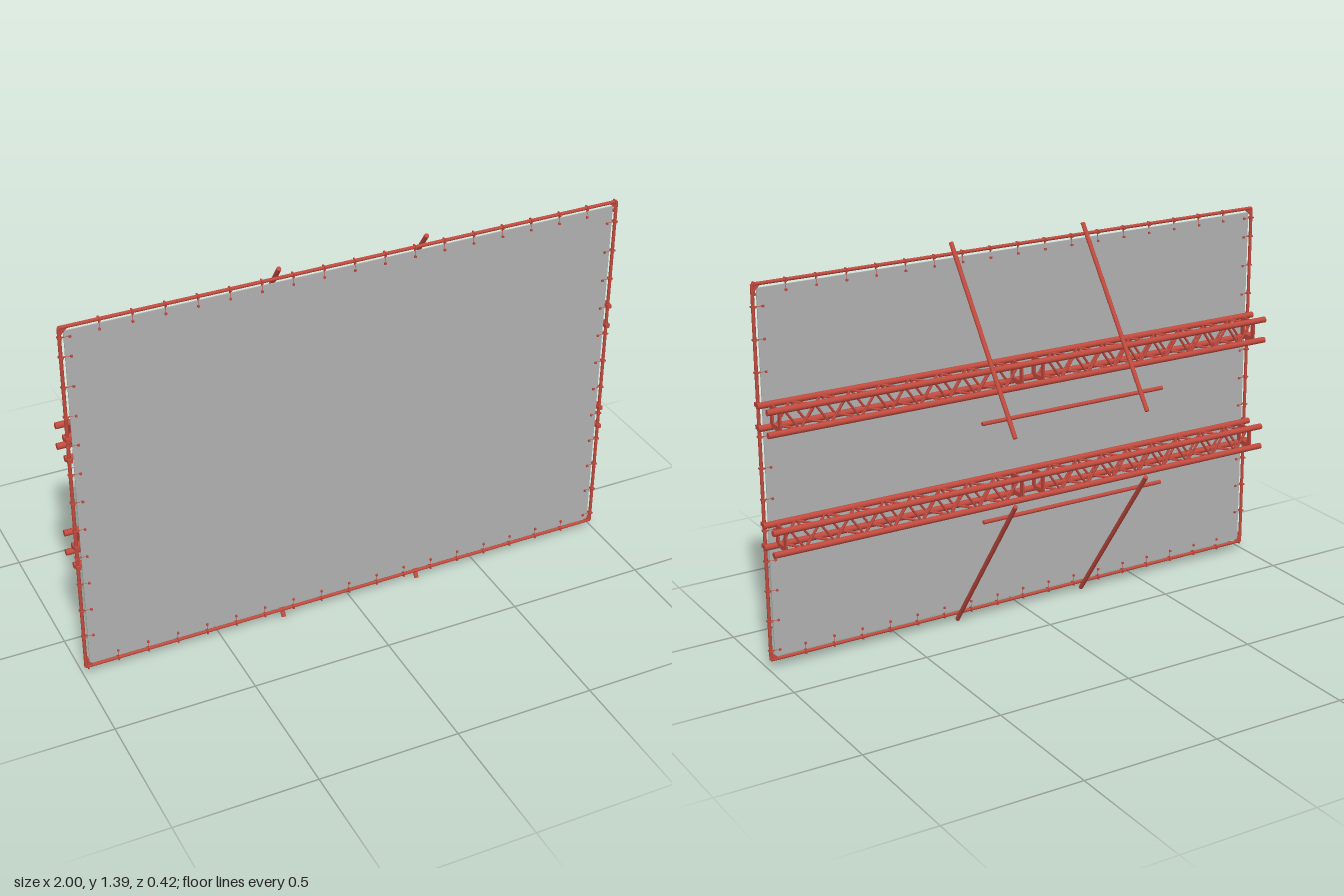
import * as THREE from 'three';

export function createModel() {
  const red = new THREE.MeshStandardMaterial({ color: 0xc24a3e });
  red.name = 'red painted steel';
  const grey = new THREE.MeshStandardMaterial({ color: 0xb0b0b0 });
  grey.name = 'grey screen';
  const model = new THREE.Group();
  const UP = new THREE.Vector3(0, 1, 0);

  // Round bar between two points
  function bar(parent, name, a, b, r, sides = 10) {
    const p = new THREE.Vector3(...a), q = new THREE.Vector3(...b);
    const dir = q.clone().sub(p);
    const mesh = new THREE.Mesh(new THREE.CylinderGeometry(r, r, dir.length(), sides), red);
    mesh.position.copy(p).add(q).multiplyScalar(0.5);
    mesh.quaternion.setFromUnitVectors(UP, dir.normalize());
    mesh.name = name;
    parent.add(mesh);
  }
  function box(parent, name, w, h, d, x, y, z, mat = red) {
    const mesh = new THREE.Mesh(new THREE.BoxGeometry(w, h, d), mat);
    mesh.position.set(x, y, z);
    mesh.name = name;
    parent.add(mesh);
  }
  function group(name) {
    const g = new THREE.Group();
    g.name = name;
    model.add(g);
    return g;
  }

  // Screen sheet
  const FZ = 0.2, X = 0.99, Y0 = 0.042, Y1 = 1.36;
  box(model, 'screen', 1.952, 1.292, 0.004, 0, 0.7, FZ, grey);

  // Outer frame with corner gussets
  const frame = group('frame');
  for (const y of [Y0, Y1]) bar(frame, 'frameRail', [-X, y, FZ], [X, y, FZ], 0.006);
  for (const x of [-X, X]) bar(frame, 'frameUpright', [x, Y0, FZ], [x, Y1, FZ], 0.006);
  for (const sx of [-1, 1]) for (const sy of [-1, 1]) {
    const s = new THREE.Shape([
      new THREE.Vector2(0, 0), new THREE.Vector2(-sx * 0.03, 0), new THREE.Vector2(0, -sy * 0.03)]);
    const gusset = new THREE.Mesh(new THREE.ExtrudeGeometry(s, { depth: 0.008, bevelEnabled: false }), red);
    gusset.position.set(sx * X, sy > 0 ? Y1 : Y0, FZ - 0.004);
    gusset.name = 'cornerGusset';
    frame.add(gusset);
  }

  // Ties that stretch the screen inside the frame; (dx, dy) points inward
  const ties = group('ties');
  function tie(x, y, dx, dy) {
    const at = (t) => [x + dx * t, y + dy * t, FZ];
    bar(ties, 'tie', at(-0.006), at(0.038), 0.0025, 6);
    box(ties, 'tieHook', 0.007, 0.007, 0.016, x + dx * 0.033, y + dy * 0.033, FZ);
    box(ties, 'tieClamp', dx ? 0.014 : 0.005, dx ? 0.005 : 0.014, 0.018, x, y, FZ);
  }
  for (let i = 0; i < 18; i++) {
    tie(-0.97 + 0.1085 * (i + 1), Y1, 0, -1);
    tie(0.97 - 0.1085 * (i + 1), Y0, 0, 1);
    if (i < 11) tie(-X, 1.255 - 0.1085 * i, 1, 0);
    if (i < 12) tie(X, 1.285 - 0.11 * i, -1, 0);
  }
  tie(-X, 1.325, 1, 0);
  tie(X, 0.6 - 0.6 + 0.075, -1, 0);

  // Box truss: four chords, end frames and zigzag lacing in two sections
  const ZF = 0.186, ZB = 0.109, H = 0.039;
  function truss(name, cy) {
    const g = group(name);
    const zc = (ZF + ZB) / 2, w = ZF - ZB;
    for (const z of [ZF, ZB]) for (const y of [cy - H, cy + H]) {
      bar(g, 'chord', [-1, y, z], [1, y, z], 0.011, 12);
      for (const x of [-X, X]) if (z === ZF) box(g, 'frameClamp', 0.016, 0.014, 0.024, x, y, 0.2);
    }
    for (const side of [-1, 1]) {
      for (const ex of [0.043, 0.953]) {
        for (const s of [-1, 1]) {
          box(g, 'endFrameBar', 0.006, 0.018, w, side * ex, cy + s * (H - 0.008), zc);
          box(g, 'endFramePost', 0.006, 2 * H, 0.018, side * ex, cy, zc + s * (w / 2 - 0.008));
        }
      }
      const n = 16, x0 = 0.06, step = (0.94 - x0) / n;
      for (let i = 0; i < n; i++) {
        const a = side * (x0 + i * step), b = side * (x0 + (i + 1) * step);
        for (const s of [-1, 1]) {
          const k = (i % 2 ? 1 : -1) * s;
          const inset = s * (H - 0.003), r = 0.0045;
          bar(g, 'lacing', [a, cy + inset, zc + k * w / 2], [b, cy + inset, zc - k * w / 2], r, 6);
          bar(g, 'lacing', [a, cy + k * H, zc + s * (w / 2 - 0.003)],
            [b, cy - k * H, zc + s * (w / 2 - 0.003)], r, 6);
        }
      }
    }
  }
  truss('upperTruss', 0.918);
  truss('lowerTruss', 0.5);

  // Raking struts, mirrored top and bottom, each pair joined by a cross bar
  const braces = group('braces');
  for (const s of [-1, 1]) {
    const y = (v) => 0.705 + s * v;
    for (const x of [-0.262, 0.262])
      bar(braces, 'strut', [x, y(0.692), 0.207], [x, y(0.12), -0.205], 0.008, 10);
    const by = s > 0 ? 0.877 : 0.53;
    bar(braces, 'crossBar', [-0.36, by, -0.15], [0.355, by, -0.15], 0.007, 10);
  }
  return model;
}
